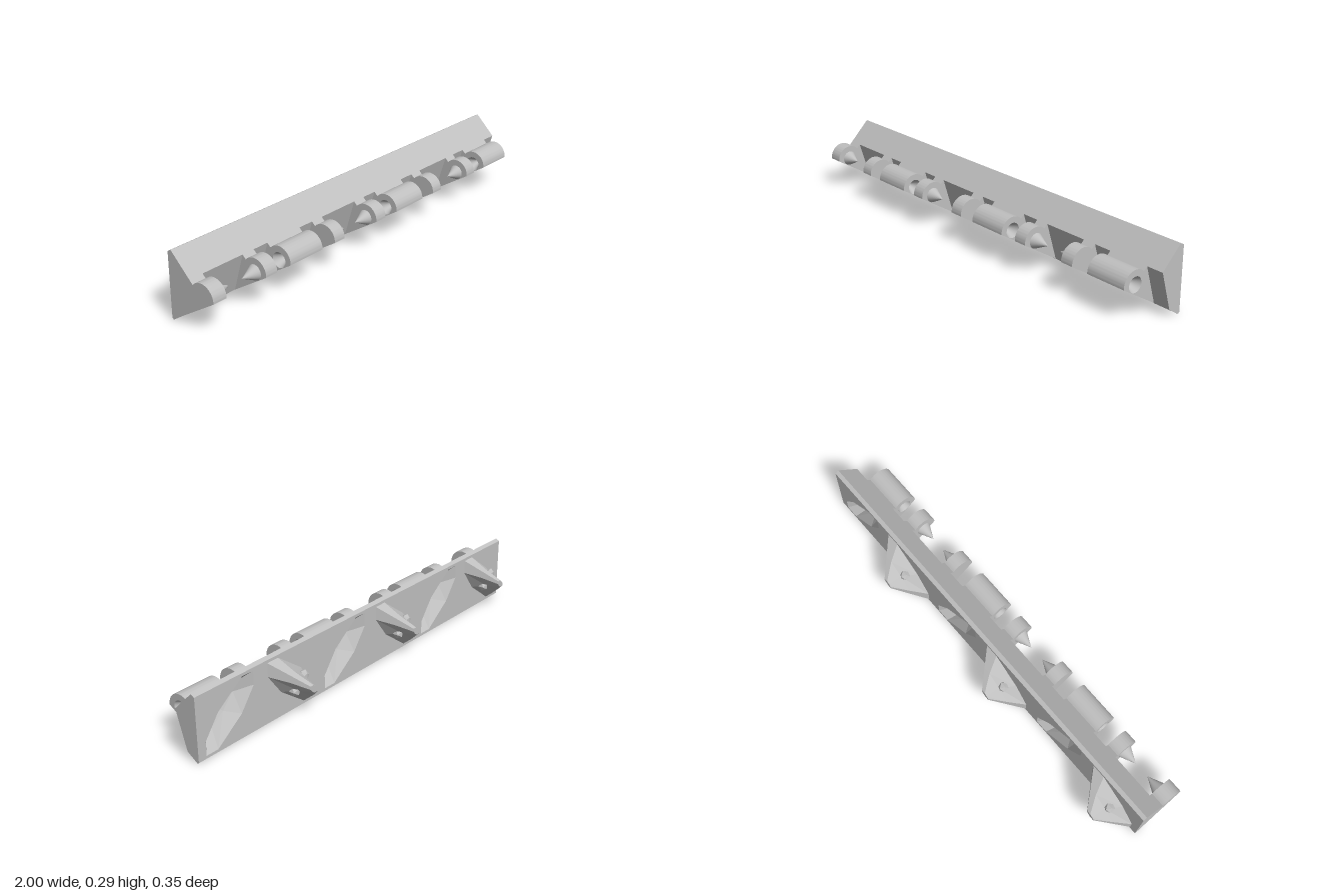
import * as THREE from 'three';
import { mergeGeometries, toCreasedNormals } from 'three/addons/utils/BufferGeometryUtils.js';

const BACK = 0.053; // distance of the back plane behind the origin
const AXIS = { y: 0.142, z: 0.115 }; // hinge axis
const SOCKET = 0.033;

const v2 = ([x, y]) => new THREE.Vector2(x, y);

function fromTriangles(points) {
  const geo = new THREE.BufferGeometry();
  geo.setAttribute('position', new THREE.Float32BufferAttribute(points.flat(), 3));
  geo.computeVertexNormals();
  return geo;
}

// Prism along x from a counter-clockwise (-z, y) profile; one wall is left open
function prism(profile, x0, x1, openEdge, hole) {
  const tris = [];
  profile.forEach((a, i) => {
    if (i === openEdge) return;
    const b = profile[(i + 1) % profile.length];
    const a0 = [...a, x0], b0 = [...b, x0], a1 = [...a, x1], b1 = [...b, x1];
    tris.push(a0, b0, b1, a0, b1, a1);
  });
  const shape = new THREE.Shape(profile.map(v2));
  if (hole) shape.holes.push(hole);
  const caps = [[x1, false], [x0, true]].map(([x, flip]) => {
    const cap = new THREE.ShapeGeometry(shape, 16).translate(0, 0, x);
    if (flip) cap.index.array.reverse();
    const flat = cap.toNonIndexed();
    flat.deleteAttribute('uv');
    flat.computeVertexNormals();
    return flat;
  });
  const geo = mergeGeometries([fromTriangles(tris), ...caps]).rotateY(Math.PI / 2);
  return toCreasedNormals(geo, 0.5);
}

// Outlines of the locking fin from base to tip: half of each, the rest by half-turn
const FIN_LEVELS = [
  [0, [[0.13, 0.125], [0.07, 0.125], [-0.06, 0.03], [-0.13, -0.065]]],
  [0.06, [[0.075, 0.072], [0.042, 0.072], [-0.02, 0.022], [-0.075, -0.038]]],
  [0.12, [[0.02, 0.018], [0.002, 0.018], [-0.01, 0.008], [-0.02, -0.004]]],
].map(([depth, half]) => [depth, [...half, ...half.map(([x, y]) => [-x, -y])]]);

// Lofts the outlines outwards as a fin, or inwards as a matching recess
function finGeometry(inward) {
  const loops = FIN_LEVELS.map(([d, loop]) => inward
    ? loop.map(([x, y]) => [x, y, -d])
    : loop.map(([x, y]) => [-x, y, d]).reverse());
  const tris = [];
  const n = loops[0].length;
  for (let l = 0; l < loops.length - 1; l++) {
    for (let i = 0; i < n; i++) {
      const j = (i + 1) % n;
      const a = loops[l], b = loops[l + 1];
      tris.push(a[i], a[j], b[j], a[i], b[j], b[i]);
    }
  }
  const top = loops[loops.length - 1];
  for (let i = 0; i < n; i++) tris.push([0, 0, top[0][2]], top[i], top[(i + 1) % n]);
  return fromTriangles(tris);
}

export function createModel() {
  const group = new THREE.Group();
  const grey = new THREE.MeshStandardMaterial({ color: 0xbfbfbf });
  grey.name = 'grey';
  const add = (name, geo, parent = group) => {
    const mesh = new THREE.Mesh(geo, grey);
    mesh.name = name;
    parent.add(mesh);
    return mesh;
  };

  // Long bar, open at the back where the pierced plate sits
  const barProfile = [[0.045, 0], [BACK, 0.005], [BACK, 0.28], [0.036, 0.289], [-0.055, 0.198], [-0.005, 0.033]];
  add('bar', prism(barProfile, -1, 1, 1));

  // Knuckle profile: arm with a rounded head, open against the bar
  const knuckle = [[-0.005, 0.033], [-0.055, 0.198]];
  for (let i = 0; i <= 24; i++) {
    const t = THREE.MathUtils.lerp(0.74, Math.PI + 0.07, i / 24);
    knuckle.push([-AXIS.z + 0.06 * Math.cos(t), AXIS.y + 0.06 * Math.sin(t)]);
  }

  // Short knuckles carrying a pointed pin: [start, end, pin direction]
  const pinned = [
    [-1, -0.935, 1], [-0.73, -0.67, -1],
    [-0.335, -0.275, 1], [-0.068, -0.006, -1],
    [0.335, 0.395, 1], [0.6, 0.66, -1],
  ];
  for (const [x0, x1, dir] of pinned) {
    add('pinKnuckle', prism(knuckle, x0, x1, 0));
    const pin = add('pin', new THREE.ConeGeometry(SOCKET, 0.068, 28, 1, true));
    pin.rotation.z = -dir * Math.PI / 2;
    pin.position.set((dir > 0 ? x1 : x0) + dir * 0.034, AXIS.y, AXIS.z);
  }

  // Long knuckles with a conical socket in each end
  const hole = new THREE.Path().absarc(-AXIS.z, AXIS.y, SOCKET, 0, Math.PI * 2, true);
  for (const [x0, x1] of [[-0.595, -0.41], [0.07, 0.255], [0.74, 0.925]]) {
    add('socketKnuckle', prism(knuckle, x0, x1, 0, hole));
    for (const dir of [-1, 1]) {
      const cone = new THREE.LatheGeometry([v2([SOCKET, 0.07]), v2([0, 0])], 32);
      const socket = add('socket', cone);
      socket.rotation.z = -dir * Math.PI / 2;
      socket.position.set((dir > 0 ? x1 : x0) - dir * 0.07, AXIS.y, AXIS.z);
    }
  }

  // Back side, built facing +z and turned around
  const back = new THREE.Group();
  back.name = 'back';
  back.rotation.y = Math.PI;
  back.position.z = -BACK;
  group.add(back);

  const recessCentres = [-0.505, 0.163, 0.83];
  const plate = new THREE.Shape([[-1, 0.005], [1, 0.005], [1, 0.28], [-1, 0.28]].map(v2));
  for (const x of recessCentres) {
    plate.holes.push(new THREE.Path(FIN_LEVELS[0][1].map(([px, py]) => v2([px - x, py + AXIS.y]))));
    add('recess', finGeometry(true), back).position.set(-x, AXIS.y, 0);
  }
  add('backPlate', new THREE.ShapeGeometry(plate), back);

  // Diagonal locking fins with a faceted stud on each flank
  for (const x of [-0.838, -0.172, 0.493]) {
    const fin = new THREE.Group();
    fin.name = 'lockingFin';
    fin.position.set(-x, AXIS.y, 0);
    back.add(fin);
    add('finBody', finGeometry(false), fin);
    for (const s of [-1, 1]) {
      add('stud', new THREE.IcosahedronGeometry(0.024, 0), fin).position.set(s * 0.026, s * 0.024, 0.042);
    }
  }
  return group;
}
